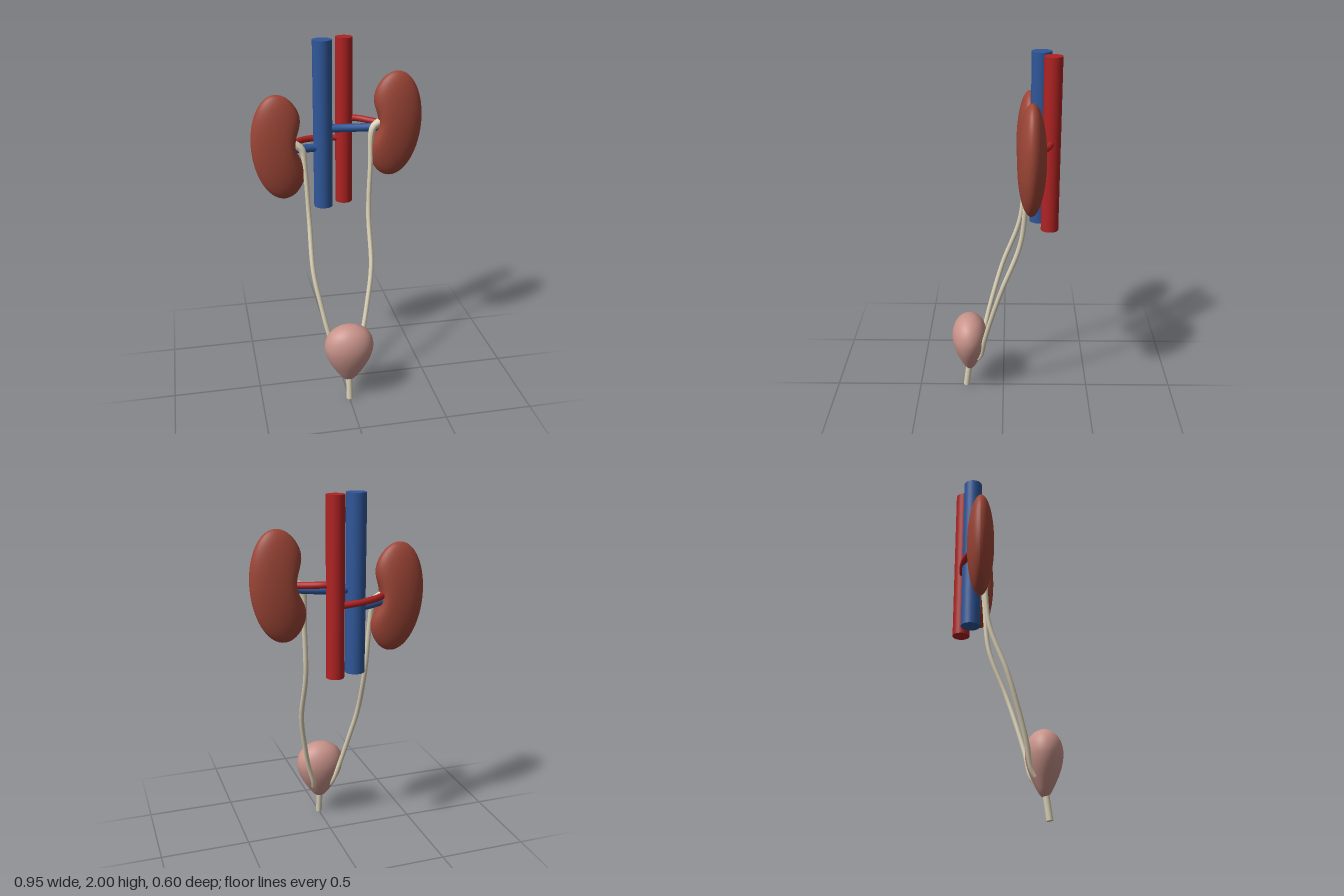
import * as THREE from 'three';

const mat = (name, color) => {
  const m = new THREE.MeshStandardMaterial({ color });
  m.name = name;
  return m;
};

export function createModel() {
  const group = new THREE.Group();
  const kidneyRed = mat('kidney brown red', 0x9c4536);
  const arteryRed = mat('artery red', 0xb02222);
  const veinBlue = mat('vein blue', 0x2f5799);
  const ureterCream = mat('ureter cream', 0xd8cfb4);
  const bladderPink = mat('bladder pink', 0xc8938a);

  const add = (name, geometry, material, x = 0, y = 0, z = 0) => {
    const mesh = new THREE.Mesh(geometry, material);
    mesh.name = name;
    mesh.position.set(x, y, z);
    group.add(mesh);
    return mesh;
  };

  // Smooth tube through points, optionally flared toward its start
  const tube = (name, points, radius, material, flare = 0) => {
    const curve = new THREE.CatmullRomCurve3(points.map(p => new THREE.Vector3(...p)));
    const geo = new THREE.TubeGeometry(curve, 72, radius, 16);
    const pos = geo.attributes.position, v = new THREE.Vector3();
    for (let i = 0; flare && i < pos.count; i++) {
      const t = geo.attributes.uv.getX(i);
      const c = curve.getPointAt(t);
      v.fromBufferAttribute(pos, i).sub(c).multiplyScalar(1 + flare * Math.exp(-((t / 0.07) ** 2))).add(c);
      pos.setXYZ(i, v.x, v.y, v.z);
    }
    if (flare) geo.computeVertexNormals();
    add(name, geo, material);
  };

  // Bean shape: ellipsoid pushed in at the hilum on its inner side
  const kidney = (name, side, y) => {
    const geo = new THREE.SphereGeometry(1, 56, 40);
    const pos = geo.attributes.position;
    for (let i = 0; i < pos.count; i++) {
      const u = pos.getX(i) * side, v = pos.getY(i), w = pos.getZ(i);
      const notch = u < 0 ? 0.075 * u * u * Math.exp(-((v / 0.4) ** 2)) : 0;
      pos.setXYZ(i, side * (0.157 * u + notch), 0.296 * v, 0.074 * w);
    }
    geo.computeVertexNormals();
    add(name, geo, kidneyRed, side * 0.317, y, -0.145).rotation.z = -side * 0.08;
  };
  kidney('leftKidney', 1, 1.533);
  kidney('rightKidney', -1, 1.433);

  // Great vessels
  const trunk = (name, r, x, z, material) =>
    add(name, new THREE.CylinderGeometry(r, r, 0.944, 40), material, x, 1.528, z);
  trunk('aorta', 0.048, 0.058, -0.253, arteryRed);
  trunk('venaCava', 0.053, -0.071, -0.198, veinBlue);

  // Renal branches
  tube('leftRenalArtery', [[0.06, 1.55, -0.253], [0.13, 1.55, -0.236], [0.19, 1.545, -0.2], [0.25, 1.54, -0.155]], 0.018, arteryRed);
  tube('rightRenalArtery', [[0.06, 1.435, -0.253], [-0.08, 1.445, -0.246], [-0.175, 1.45, -0.216], [-0.25, 1.45, -0.155]], 0.018, arteryRed);
  tube('leftRenalVein', [[-0.07, 1.51, -0.198], [0.02, 1.51, -0.196], [0.12, 1.512, -0.18], [0.25, 1.52, -0.15]], 0.023, veinBlue);
  tube('rightRenalVein', [[-0.07, 1.41, -0.198], [-0.14, 1.41, -0.182], [-0.25, 1.42, -0.15]], 0.023, veinBlue);

  // Ureters, flared at the hilum and entering the back of the bladder
  const ureter = (name, s, top) => tube(name, [
    [s * 0.24, top + 0.01, -0.145], [s * 0.2, top - 0.02, -0.138], [s * 0.184, 1.3, -0.122],
    [s * 0.171, 1.02, -0.094], [s * 0.168, 0.74, 0.005], [s * 0.135, 0.545, 0.063],
    [s * 0.1, 0.38, 0.105], [s * 0.062, 0.25, 0.13], [s * 0.055, 0.215, 0.15],
  ], 0.0135, ureterCream, 0.7);
  ureter('leftUreter', 1, 1.54);
  ureter('rightUreter', -1, 1.44);

  // Pear shaped bladder, flattened front to back
  const profile = new THREE.SplineCurve([
    [0, 0.122], [0.022, 0.127], [0.048, 0.15], [0.083, 0.2], [0.112, 0.25], [0.132, 0.3],
    [0.14, 0.35], [0.13, 0.4], [0.1, 0.443], [0.05, 0.472], [0, 0.48],
  ].map(p => new THREE.Vector2(...p)));
  const pts = profile.getPoints(44).map(p => new THREE.Vector2(Math.max(0, p.x), p.y));
  add('bladder', new THREE.LatheGeometry(pts, 48), bladderPink, 0, 0, 0.2).scale.z = 0.72;

  // Urethra, leaning slightly forward
  add('urethra', new THREE.CylinderGeometry(0.018, 0.018, 0.16, 24), ureterCream, 0, 0.082, 0.212).rotation.x = -0.13;

  return group;
}
